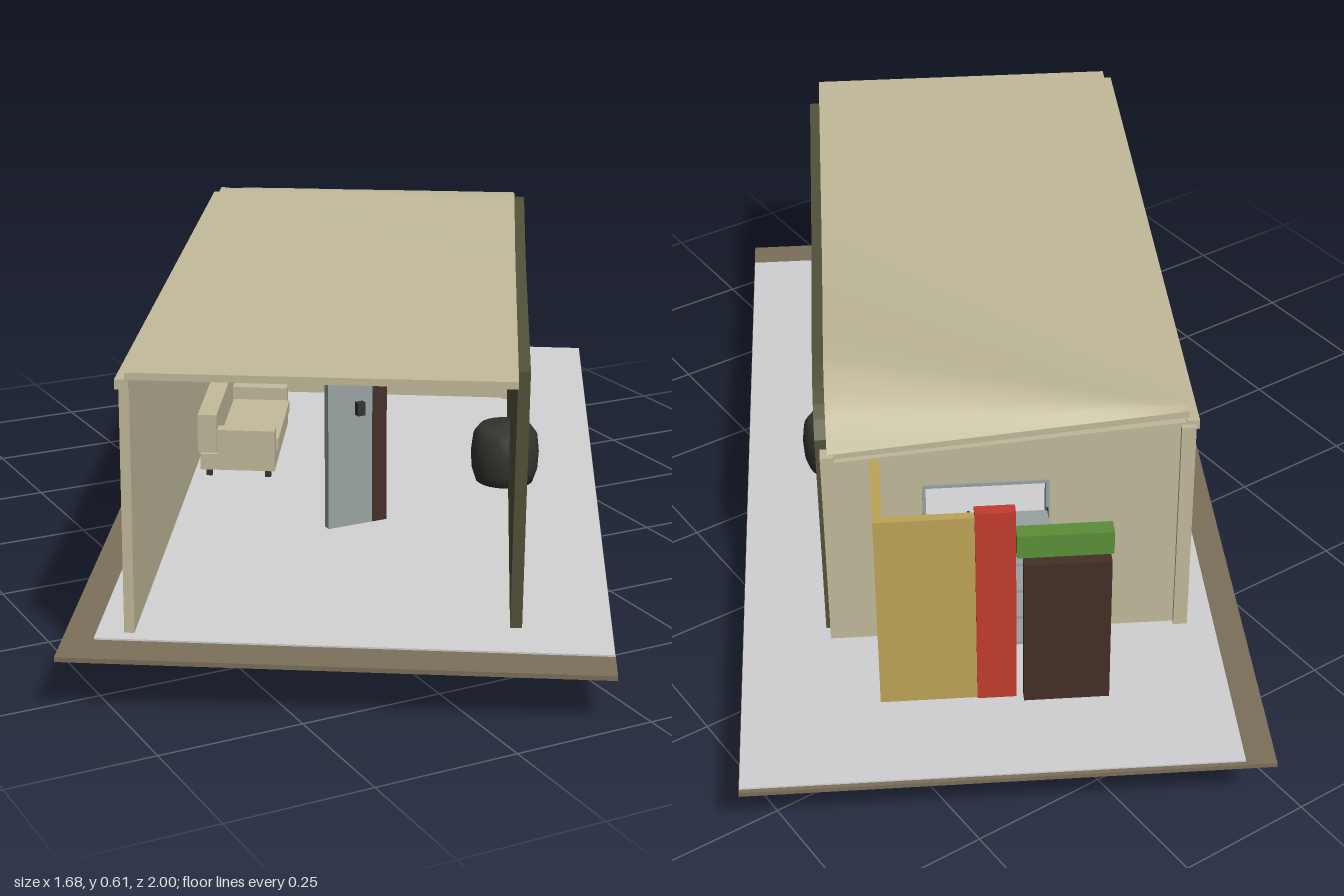
import * as THREE from 'three';

const mat = (name, color, side = THREE.FrontSide) => {
  const m = new THREE.MeshStandardMaterial({ color, side });
  m.name = name;
  return m;
};

export function createModel() {
  const cream = mat('cream', 0xc2bb9b);
  const olive = mat('darkOlive', 0x53523a);
  const tile = mat('tileGrey', 0xd2d2d4);
  const earth = mat('earthBrown', 0x7b705a);
  const ochre = mat('ochre', 0xbfa556);
  const red = mat('red', 0xc43c30);
  const green = mat('green', 0x5c9038);
  const brown = mat('darkBrown', 0x443028);
  const steel = mat('steelGrey', 0x9aa3a2);
  const black = mat('charcoal', 0x343430);

  const model = new THREE.Group();
  model.name = 'pavilion';
  // The whole site leans slightly and is turned on plan
  const lean = new THREE.Group();
  lean.name = 'site';
  lean.position.y = 0.115;
  lean.rotation.x = 0.0235;
  model.add(lean);
  const site = new THREE.Group();
  site.name = 'building';
  site.rotation.y = -0.532;
  lean.add(site);

  const add = (name, geo, material, parent = site) => {
    const m = new THREE.Mesh(geo, material);
    m.name = name;
    parent.add(m);
    return m;
  };
  // Box given by its minimum and maximum corners
  const box = (name, material, [x0, y0, z0], [x1, y1, z1], parent = site) => {
    const m = add(name, new THREE.BoxGeometry(x1 - x0, y1 - y0, z1 - z0), material, parent);
    m.position.set((x0 + x1) / 2, (y0 + y1) / 2, (z0 + z1) / 2);
    return m;
  };

  // Ground slab and tiled floor
  box('groundSlab', earth, [-0.45, -0.008, -0.893], [0.45, 0, 0.893]);
  box('tiledFloor', tile, [-0.398, 0, -0.885], [0.449, 0.003, 0.82]);

  // Wave along the right roof edge: (z, height)
  const edge = new THREE.SplineCurve([
    [-0.505, 0.4], [-0.465, 0.45], [-0.42, 0.476], [-0.36, 0.488], [-0.28, 0.485],
    [-0.165, 0.474], [-0.04, 0.463], [0.08, 0.457], [0.3, 0.456], [0.81, 0.457],
  ].map((p) => new THREE.Vector2(...p))).getPoints(90);
  const wave = (z) => {
    const i = edge.findIndex((p) => p.x >= z);
    if (i < 0) return 0.457;
    if (i === 0) return edge[0].y;
    const a = edge[i - 1], b = edge[i];
    return a.y + (b.y - a.y) * (z - a.x) / (b.x - a.x);
  };

  // Roof: flat sheet whose wave fans out from the back left corner
  const X0 = -0.34, W = 0.62, Z0 = -0.505, L = 1.315;
  const roofGeo = new THREE.BoxGeometry(W, 0.012, L, 16, 1, 100);
  roofGeo.translate(X0 + W / 2, -0.006, Z0 + L / 2);
  const p = roofGeo.attributes.position;
  for (let i = 0; i < p.count; i++) {
    const t = (p.getX(i) - X0) / W;
    const along = (p.getZ(i) - Z0) / Math.max(t, 1e-4);
    const h = THREE.MathUtils.lerp(0.455, wave(Z0 + along), t);
    p.setY(i, p.getY(i) + h);
  }
  roofGeo.computeVertexNormals();
  add('roof', roofGeo, cream);

  // Right wall, its top following the wave
  const side = new THREE.Shape();
  side.moveTo(-0.485, 0);
  side.lineTo(0.725, 0);
  for (let i = 50; i >= 0; i--) {
    const z = -0.485 + 1.21 * i / 50;
    side.lineTo(z, wave(z) - 0.009);
  }
  const sideGeo = new THREE.ExtrudeGeometry(side, { depth: 0.02, bevelEnabled: false });
  sideGeo.rotateY(-Math.PI / 2);
  sideGeo.translate(0.3, 0, 0);
  add('rightWall', sideGeo, olive);

  // Left wall with a cap strip
  box('leftWall', cream, [-0.352, 0, -0.505], [-0.335, 0.432, 0.795]);
  box('leftWallCap', cream, [-0.357, 0.425, -0.515], [-0.335, 0.442, 0.805]);
  box('cornerPost', cream, [-0.35, 0, -0.525], [-0.325, 0.435, -0.503]);
  box('cornerPost', cream, [0.268, 0, -0.515], [0.292, 0.4, -0.487]);

  // Back wall with a window opening
  const back = new THREE.Shape();
  back.moveTo(-0.34, 0);
  back.lineTo(0.28, 0);
  back.lineTo(0.28, 0.39);
  back.lineTo(-0.34, 0.44);
  const hole = new THREE.Path();
  hole.moveTo(-0.1, 0.2);
  hole.lineTo(-0.1, 0.335);
  hole.lineTo(0.12, 0.335);
  hole.lineTo(0.12, 0.2);
  back.holes.push(hole);
  const backGeo = new THREE.ExtrudeGeometry(back, { depth: 0.018, bevelEnabled: false });
  backGeo.translate(0, 0, -0.515);
  add('backWall', backGeo, cream);
  for (const x of [-0.1, 0.114]) box('windowJamb', steel, [x, 0.2, -0.519], [x + 0.006, 0.335, -0.495]);
  for (const y of [0.2, 0.329]) box('windowRail', steel, [-0.1, y, -0.519], [0.12, y + 0.006, -0.495]);

  // Screen walls behind the building
  box('screenSide', ochre, [0.192, 0, -0.692], [0.208, 0.393, -0.515]);
  box('screenBack', ochre, [0.04, 0, -0.692], [0.192, 0.393, -0.676]);
  box('redPier', red, [-0.028, 0, -0.695], [0.04, 0.403, -0.673]);
  box('rearDoor', brown, [-0.188, 0, -0.707], [-0.04, 0.3, -0.685]);
  box('greenSign', green, [-0.19, 0.32, -0.712], [-0.028, 0.365, -0.682]);

  // Storage rack
  const rack = new THREE.Group();
  rack.name = 'storageRack';
  rack.position.set(-0.026, 0, -0.577);
  site.add(rack);
  for (let i = 0; i < 5; i++) {
    const y = 0.05 + i * 0.058;
    box('rackShelf', steel, [-0.068, y, -0.036], [0.068, y + 0.006, 0.036], rack);
  }
  for (const x of [-0.07, 0.066]) {
    for (const z of [-0.038, 0.034]) {
      box('rackPost', black, [x, 0, z], [x + 0.004, 0.292, z + 0.004], rack);
    }
  }

  // Round pouf pushed through the right wall
  const pouf = add('pouf', new THREE.LatheGeometry([
    [0, 0.004], [0.056, 0.006], [0.064, 0.03], [0.066, 0.065], [0.062, 0.1],
    [0.05, 0.116], [0, 0.122],
  ].map((q) => new THREE.Vector2(...q)), 24), black);
  pouf.position.set(0.272, 0, 0.02);

  // Sofa against the left wall
  const sofa = new THREE.Group();
  sofa.name = 'sofa';
  site.add(sofa);
  box('sofaBase', cream, [-0.32, 0.018, -0.25], [-0.175, 0.05, 0.05], sofa);
  box('sofaSeat', cream, [-0.285, 0.053, -0.22], [-0.17, 0.075, 0.02], sofa);
  box('sofaBack', cream, [-0.325, 0.053, -0.25], [-0.288, 0.13, 0.05], sofa);
  for (const z of [-0.25, 0.022]) {
    box('sofaArm', cream, [-0.287, 0.05, z], [-0.175, 0.1, z + 0.028], sofa);
    for (const x of [-0.31, -0.195]) box('sofaLeg', black, [x, 0, z + 0.008], [x + 0.012, 0.018, z + 0.02], sofa);
  }

  // Inner door, upright and square to the front, running below the floor
  const door = new THREE.Group();
  door.name = 'innerDoor';
  model.add(door);
  box('doorLeaf', steel, [-0.2, 0, 0.225], [-0.11, 0.545, 0.24], door);
  box('doorPost', brown, [-0.11, 0, 0.225], [-0.08, 0.545, 0.24], door);
  box('doorHandle', black, [-0.145, 0.325, 0.24], [-0.13, 0.35, 0.252], door);
  box('doorHinge', black, [-0.205, 0.5, 0.23], [-0.196, 0.52, 0.244], door);

  return model;
}
